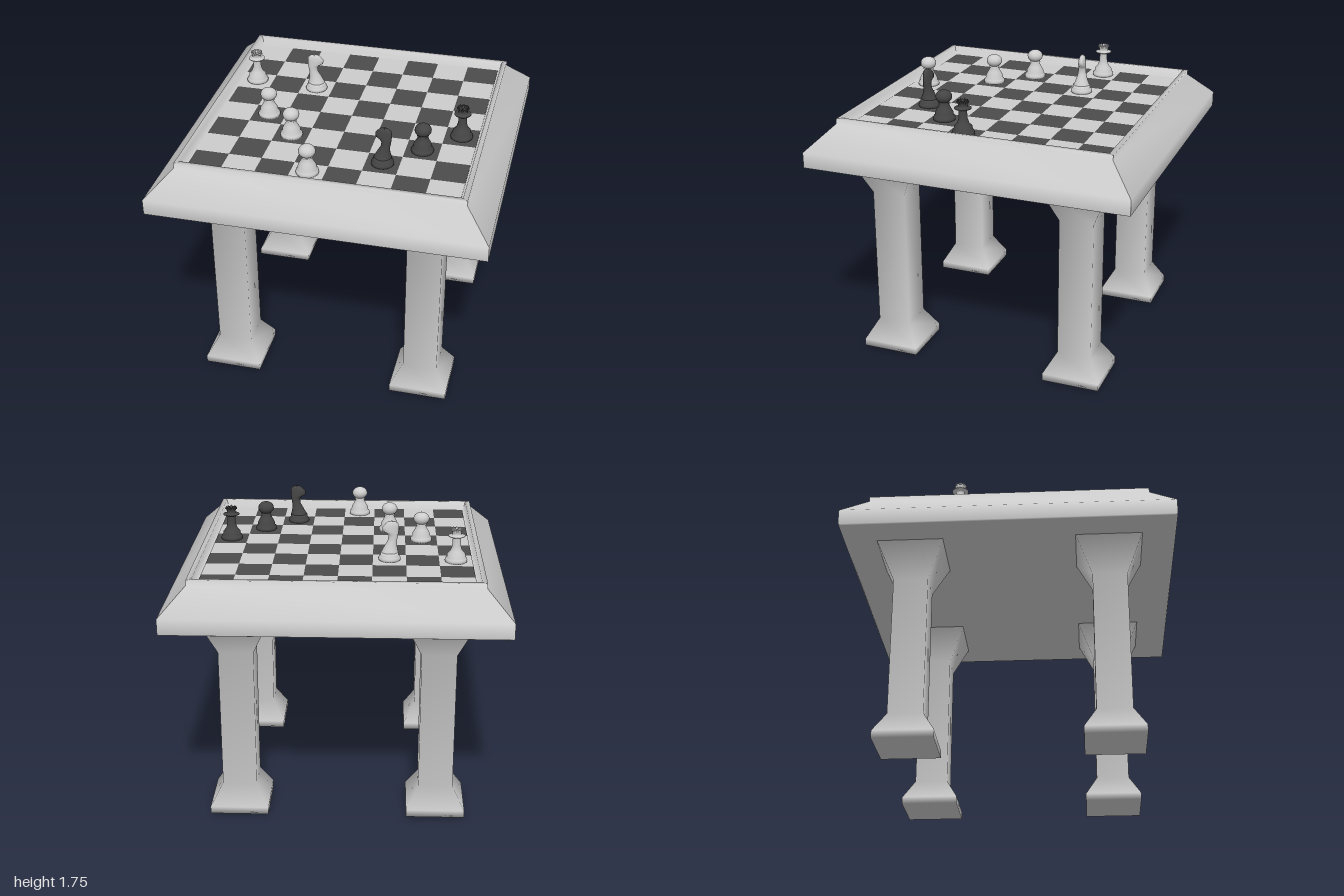
import * as THREE from 'three';
import { mergeGeometries } from 'three/addons/utils/BufferGeometryUtils.js';

const BOARD_Y = 1.5;
const material = (name, color) => Object.assign(new THREE.MeshStandardMaterial({ color }), { name });
const points = (rows) => rows.map(([r, y]) => new THREE.Vector2(r, y));

function addMesh(parent, name, geometry, mat) {
  const mesh = new THREE.Mesh(geometry, mat);
  mesh.name = name;
  parent.add(mesh);
  return mesh;
}

// Square slab: four quarter turns, smooth along the profile, sharp at the corners
function squareSlab(rows) {
  const profile = points(rows.map(([h, y]) => [h * Math.SQRT2, y]));
  const sides = [0, 1, 2, 3].map((i) => {
    const g = new THREE.LatheGeometry(profile, 1, Math.PI / 4 + i * Math.PI / 2, Math.PI / 2);
    g.computeVertexNormals();
    return g;
  });
  return mergeGeometries(sides);
}

// Square leg with softly shaded corners
function legGeometry() {
  const rows = [[0, 0], [0.178, 0.005], [0.178, 0.05], [0.105, 0.18], [0.105, 1.05], [0.2, 1.27], [0.2, 1.29]];
  return new THREE.LatheGeometry(points(rows.map(([h, y]) => [h * Math.SQRT2, y])), 4, Math.PI / 4);
}

// Squares of one colour, as thin plates
function squaresGeometry(parity) {
  const list = [];
  for (let i = 0; i < 8; i++) {
    for (let j = 0; j < 8; j++) {
      if ((i + j) % 2 !== parity) continue;
      const g = new THREE.BoxGeometry(0.2, 0.006, 0.2);
      g.translate(-0.7 + 0.2 * i, BOARD_Y - 0.003, -0.7 + 0.2 * j);
      list.push(g);
    }
  }
  return mergeGeometries(list);
}

const turned = (rows) => new THREE.LatheGeometry(points(rows), 28);
const BASE = [[0, 0], [0.066, 0], [0.068, 0.012], [0.064, 0.024], [0.056, 0.03], [0.054, 0.05]];

function pawn(mat) {
  const g = new THREE.Group();
  addMesh(g, 'pawnBody', turned([...BASE, [0.04, 0.075], [0.028, 0.1], [0.034, 0.106], [0.026, 0.115], [0, 0.12]]), mat);
  const head = addMesh(g, 'pawnHead', new THREE.SphereGeometry(0.05, 24, 16), mat);
  head.scale.y = 0.8;
  head.position.y = 0.145;
  return g;
}

function queen(mat) {
  const g = new THREE.Group();
  addMesh(g, 'queenBody', turned([...BASE, [0.036, 0.07], [0.026, 0.1], [0.024, 0.145], [0.025, 0.157],
    [0.05, 0.159], [0.05, 0.164], [0.026, 0.167], [0.028, 0.185], [0.036, 0.203], [0.03, 0.203], [0.024, 0.196], [0, 0.2]]), mat);
  addMesh(g, 'queenFinial', new THREE.SphereGeometry(0.01, 12, 8), mat).position.y = 0.206;
  // crown points
  for (let i = 0; i < 8; i++) {
    const a = i * Math.PI / 4;
    const tip = addMesh(g, 'crownPoint', new THREE.ConeGeometry(0.009, 0.018, 8), mat);
    tip.position.set(0.03 * Math.cos(a), 0.205, 0.03 * Math.sin(a));
  }
  return g;
}

// Knight faces -x: ellipse sections [y, centre x, half length, half width]
function knight(mat) {
  const g = new THREE.Group();
  addMesh(g, 'knightBase', turned([...BASE, [0, 0.055]]), mat);
  const rows = [[0.045, 0, 0.053, 0.053], [0.065, 0.003, 0.046, 0.043], [0.09, 0.007, 0.037, 0.034],
    [0.12, 0.016, 0.028, 0.026], [0.15, 0.021, 0.028, 0.024], [0.168, 0.017, 0.035, 0.024], [0.18, 0.005, 0.048, 0.024],
    [0.205, 0.004, 0.05, 0.022], [0.225, 0.011, 0.04, 0.018], [0.237, 0.01, 0.025, 0.012], [0.242, 0.008, 0, 0]];
  const head = turned(rows.map(([y, , rx]) => [rx, y]));
  const p = head.attributes.position;
  for (let i = 0; i < p.count; i++) {
    const [, cx, rx, rz] = rows[i % rows.length];
    p.setX(i, p.getX(i) + cx);
    if (rx > 0) p.setZ(i, p.getZ(i) * rz / rx);
  }
  head.computeVertexNormals();
  addMesh(g, 'knightHead', head, mat);
  // ears
  for (const side of [-1, 1]) {
    const ear = addMesh(g, 'knightEar', new THREE.ConeGeometry(0.008, 0.025, 8), mat);
    ear.position.set(0.012, 0.234, side * 0.009);
  }
  return g;
}

export function createModel() {
  const stone = material('pale stone', 0xcccccc);
  const darkSquare = material('dark square', 0x4c4c4c);
  const blackPiece = material('black piece', 0x444444);
  const model = new THREE.Group();
  model.name = 'chessTable';

  // Table top with raised rim and sunken floor
  addMesh(model, 'tableTop', squareSlab([[0, 1.27], [0.8, 1.27], [0.99, 1.27], [1, 1.275], [1, 1.37], [0.85, 1.52],
    [0.85, 1.55], [0.82, 1.55], [0.805, BOARD_Y - 0.004], [0, BOARD_Y - 0.004]]), stone);
  addMesh(model, 'lightSquares', squaresGeometry(0), stone);
  addMesh(model, 'darkSquares', squaresGeometry(1), darkSquare);

  // Legs
  const leg = legGeometry();
  for (const x of [-0.6, 0.6]) {
    for (const z of [-0.6, 0.6]) addMesh(model, 'leg', leg, stone).position.set(x, 0, z);
  }

  // Pieces: [name, builder, material, x, z, turn]
  const pieces = [
    ['whiteQueen', queen, stone, -0.7, -0.31, 0],
    ['whiteKnight', knight, stone, -0.3, -0.29, Math.PI + 0.15],
    ['whitePawn', pawn, stone, -0.5, 0.1, 0],
    ['whitePawn', pawn, stone, -0.3, 0.31, 0],
    ['whitePawn', pawn, stone, -0.1, 0.69, 0],
    ['blackQueen', queen, blackPiece, 0.7, 0.1, 0],
    ['blackPawn', pawn, blackPiece, 0.5, 0.31, 0],
    ['blackKnight', knight, blackPiece, 0.3, 0.5, -0.15],
  ];
  for (const [name, build, mat, x, z, turn] of pieces) {
    const piece = build(mat);
    piece.name = name;
    piece.position.set(x, BOARD_Y, z);
    piece.rotation.y = turn;
    model.add(piece);
  }
  return model;
}
